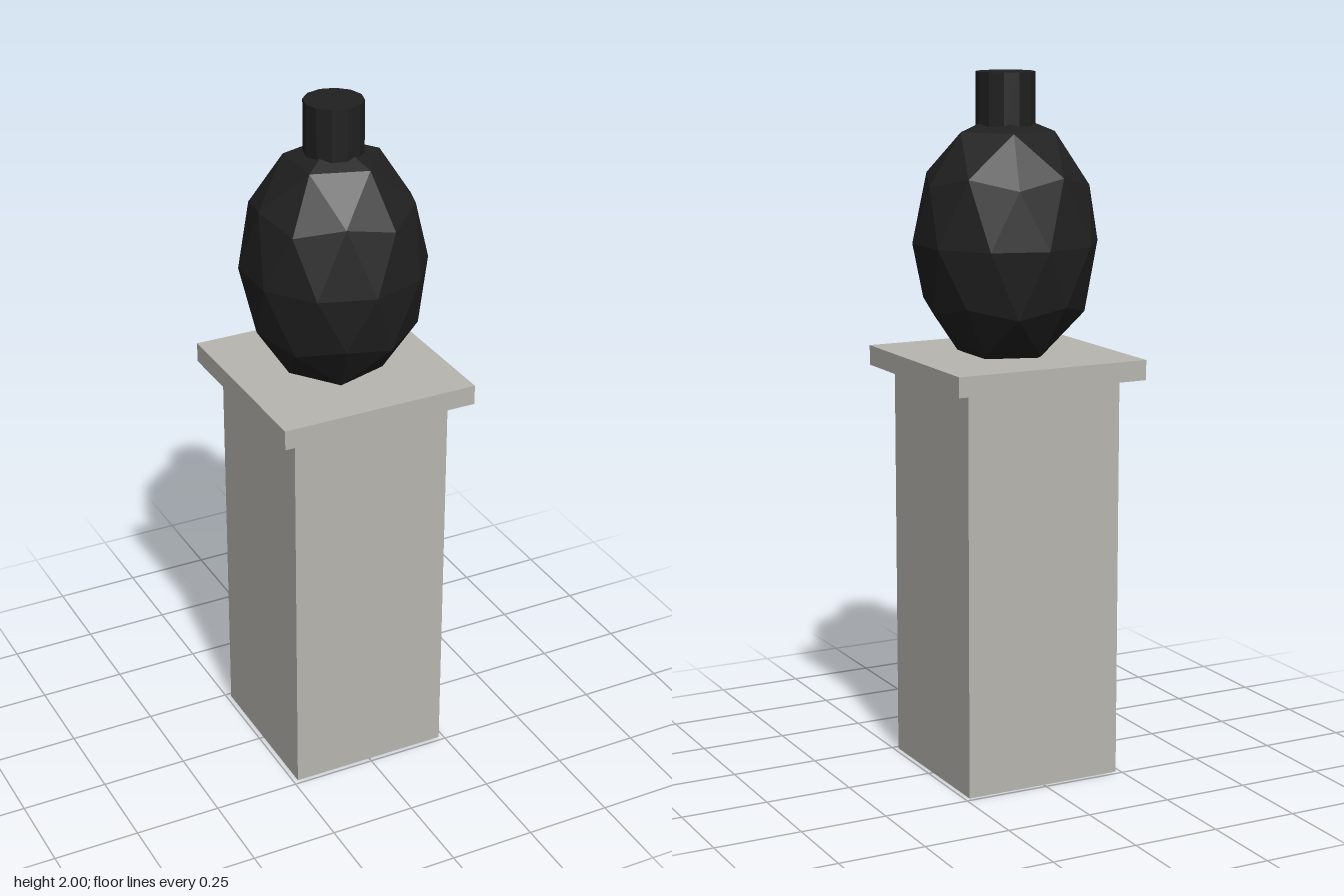
import * as THREE from 'three';

export function createModel() {
  const model = new THREE.Group();
  const stone = new THREE.MeshStandardMaterial({ color: 0xb8b6b0, flatShading: true });
  stone.name = 'paleStone';
  const black = new THREE.MeshStandardMaterial({ color: 0x202020, flatShading: true });
  black.name = 'blackGlaze';

  const add = (name, geometry, material, y) => {
    const mesh = new THREE.Mesh(geometry, material);
    mesh.name = name;
    mesh.position.y = y;
    model.add(mesh);
  };

  // Square pedestal with an overhanging slab
  add('pedestal', new THREE.BoxGeometry(0.472, 1.155, 0.472), stone, 0.5775);
  add('pedestalCap', new THREE.BoxGeometry(0.58, 0.057, 0.58), stone, 1.1835);

  // Faceted vase body: icosphere turned point-up, then stretched in height
  const body = new THREE.IcosahedronGeometry(0.263, 1);
  body.rotateZ(-Math.atan(2 / (1 + Math.sqrt(5))));
  body.scale(1, 1.385, 1);
  body.computeVertexNormals();
  add('vaseBody', body, black, 1.527);

  // Twelve-sided neck, sunk slightly into the body
  add('vaseNeck', new THREE.CylinderGeometry(0.083, 0.083, 0.16, 12), black, 1.92);

  return model;
}
